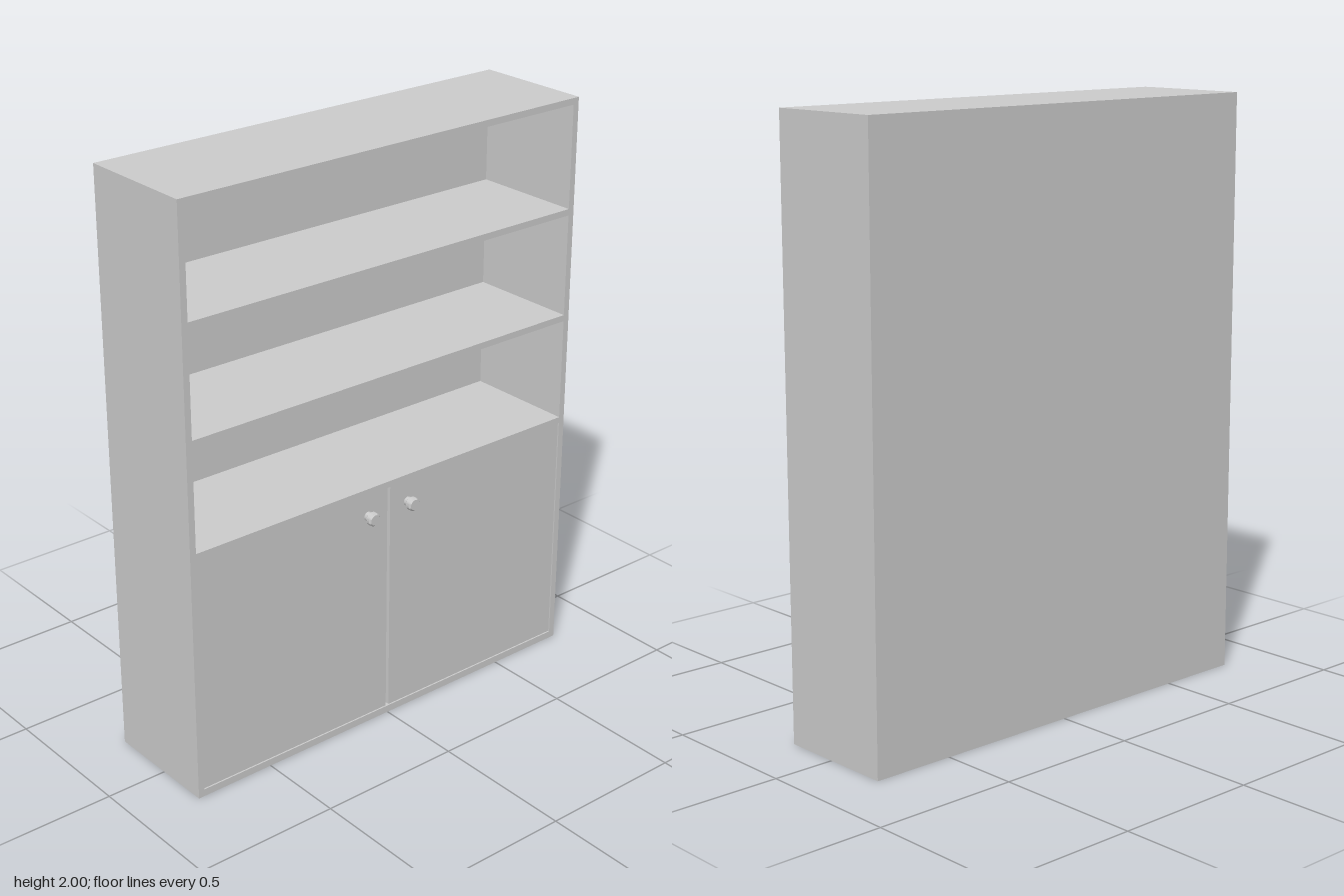
import * as THREE from 'three';
import { toCreasedNormals } from 'three/addons/utils/BufferGeometryUtils.js';

const material = new THREE.MeshStandardMaterial({ color: 0xcccccc });

// Box given by its limits on each axis
function panel(name, [x0, x1], [y0, y1], [z0, z1]) {
  const mesh = new THREE.Mesh(new THREE.BoxGeometry(x1 - x0, y1 - y0, z1 - z0), material);
  mesh.name = name;
  mesh.position.set((x0 + x1) / 2, (y0 + y1) / 2, (z0 + z1) / 2);
  return mesh;
}

export function createModel() {
  const group = new THREE.Group();
  group.name = 'bookcase';
  const W = 0.787, H = 2, T = 0.022;
  const back = -0.227, front = 0.192;
  const inner = W - T;
  const backFace = back + T;

  // Carcass: sides, top, bottom and back
  group.add(
    panel('leftSide', [inner, W], [0, H], [back, front]),
    panel('rightSide', [-W, -inner], [0, H], [back, front]),
    panel('top', [-inner, inner], [H - T, H], [back, front]),
    panel('bottom', [-inner, inner], [0, 0.025], [back, front]),
    panel('backPanel', [-inner, inner], [0.025, H - T], [back, backFace])
  );

  // Shelves, the lowest one closing the cupboard
  for (const y of [0.853, 1.23, 1.604]) {
    group.add(panel('shelf', [-inner, inner], [y, y + T], [backFace, front]));
  }

  // Knob profile: stem, then a chamfered head
  const profile = [
    [0, 0], [0.016, 0], [0.016, 0.014], [0.018, 0.014], [0.023, 0.019],
    [0.023, 0.032], [0.018, 0.038], [0, 0.038]
  ].map(([r, h]) => new THREE.Vector2(r, h));
  const knobGeometry = toCreasedNormals(new THREE.LatheGeometry(profile, 20), 0.5);
  knobGeometry.rotateX(Math.PI / 2);

  // Pair of doors with a narrow gap between them, one knob each
  const doorFront = front - 0.003;
  for (const side of [-1, 1]) {
    const label = side > 0 ? 'left' : 'right';
    const xs = [side * 0.006, side * (inner - 0.002)].sort((a, b) => a - b);
    group.add(panel(label + 'Door', xs, [0.027, 0.851], [doorFront - T, doorFront]));

    const knob = new THREE.Mesh(knobGeometry, material);
    knob.name = label + 'Knob';
    knob.position.set(side * 0.084 - 0.003, 0.776, doorFront);
    group.add(knob);
  }
  return group;
}
